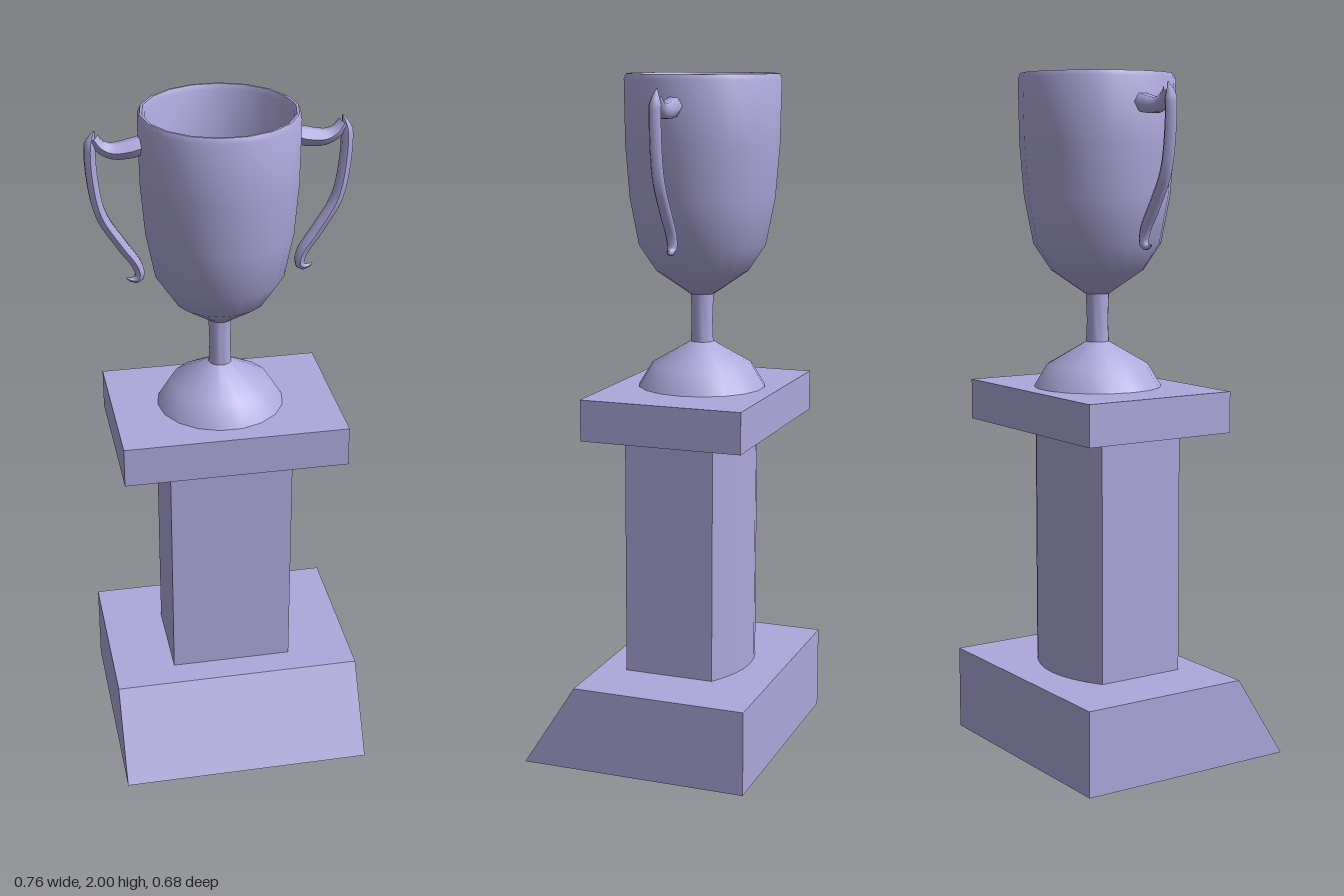
import * as THREE from 'three';
import { toCreasedNormals } from 'three/addons/utils/BufferGeometryUtils.js';

const CUP_X = -0.007, CUP_Z = -0.074;
const V = (x, y) => new THREE.Vector2(x, y);

export function createModel() {
  const model = new THREE.Group();
  model.name = 'trophy';
  const material = new THREE.MeshStandardMaterial({ color: 0xaea8dc });

  const add = (name, geometry, parent = model) => {
    const mesh = new THREE.Mesh(geometry, material);
    mesh.name = name;
    parent.add(mesh);
    return mesh;
  };
  const extrude = (points, depth) =>
    new THREE.ExtrudeGeometry(new THREE.Shape(points), { depth, bevelEnabled: false });
  const lathe = (points) =>
    toCreasedNormals(new THREE.LatheGeometry(points.map(([r, y]) => V(r, y)), 18, Math.PI / 2), 0.85);

  // Base block with a sloping front: profile in z and y, extruded along x
  const base = extrude([V(-0.34, 0), V(0.34, 0), V(0.18, 0.25), V(-0.34, 0.25)], 0.75);
  base.rotateY(-Math.PI / 2);
  base.translate(0.377, 0, 0);
  add('base', base);

  // Column: flat front and sides, shallow rounded back
  const plan = [V(-0.183, -0.095), V(0.183, -0.095)];
  const steps = 8;
  for (let i = 0; i <= steps; i++) {
    const t = 1 - (2 * i) / steps;
    plan.push(V(0.183 * t, 0.175 + 0.058 * (1 - t * t)));
  }
  const column = extrude(plan, 0.73);
  column.rotateX(-Math.PI / 2);
  column.translate(-0.003, 0.25, 0);
  add('column', toCreasedNormals(column, 0.5));

  // Slab on top of the column
  const slab = new THREE.BoxGeometry(0.66, 0.12, 0.48);
  slab.translate(0, 1.038, -0.07);
  add('slab', slab);

  // Cup assembly, centred on its own axis
  const cup = new THREE.Group();
  cup.name = 'cup';
  cup.position.set(CUP_X, 0, CUP_Z);
  model.add(cup);

  add('foot', lathe([[0, 1.097], [0.188, 1.097], [0.148, 1.163], [0.033, 1.23]]), cup);
  add('stem', lathe([[0.034, 1.22], [0.031, 1.29], [0.034, 1.38]]), cup);
  // Outside upwards, over the rim, inside downwards
  add('bowl', lathe([
    [0, 1.365], [0.036, 1.37], [0.135, 1.438], [0.186, 1.515], [0.212, 1.65],
    [0.224, 1.8], [0.227, 1.985], [0.220, 2], [0.213, 2], [0.206, 1.985],
    [0.204, 1.8], [0.192, 1.65], [0.168, 1.53], [0.12, 1.46], [0, 1.41],
  ]), cup);

  // Tube whose radius follows a list of values along its path
  const taperedTube = (points, radii, segments) => {
    const sides = 6;
    const path = new THREE.CatmullRomCurve3(points.map(([x, y]) => new THREE.Vector3(x, y, 0)));
    const geometry = new THREE.TubeGeometry(path, segments, 1, sides);
    const pos = geometry.attributes.position;
    const v = new THREE.Vector3();
    for (let i = 0; i < pos.count; i++) {
      const u = Math.floor(i / (sides + 1)) / segments;
      const k = Math.min(Math.floor(u * (radii.length - 1)), radii.length - 2);
      const r = THREE.MathUtils.lerp(radii[k], radii[k + 1], u * (radii.length - 1) - k);
      const centre = path.getPointAt(u);
      v.fromBufferAttribute(pos, i).sub(centre).multiplyScalar(r).add(centre);
      pos.setXYZ(i, v.x, v.y, v.z);
    }
    geometry.computeVertexNormals();
    return geometry;
  };

  // Handles: a short upper arm and a long curved grip ending in a small hook
  for (const [side, s] of [['left', 1], ['right', -1]]) {
    const handle = new THREE.Group();
    handle.name = side + 'Handle';
    handle.position.z = 0.005;
    cup.add(handle);
    const mirror = (points) => points.map(([x, y]) => [x * s, y]);
    add('upperArm', taperedTube(
      mirror([[0.205, 1.92], [0.25, 1.908], [0.3, 1.905], [0.33, 1.92], [0.348, 1.945]]),
      [0.026, 0.028, 0.025, 0.02, 0.016], 12), handle);
    add('grip', taperedTube(
      mirror([[0.345, 1.965], [0.357, 1.93], [0.356, 1.83], [0.335, 1.72], [0.28, 1.625],
        [0.238, 1.56], [0.232, 1.525], [0.247, 1.513], [0.27, 1.522]]),
      [0.002, 0.018, 0.018, 0.018, 0.018, 0.018, 0.018, 0.018, 0.018, 0.018, 0.017, 0.015, 0.002], 36), handle);
  }
  return model;
}
